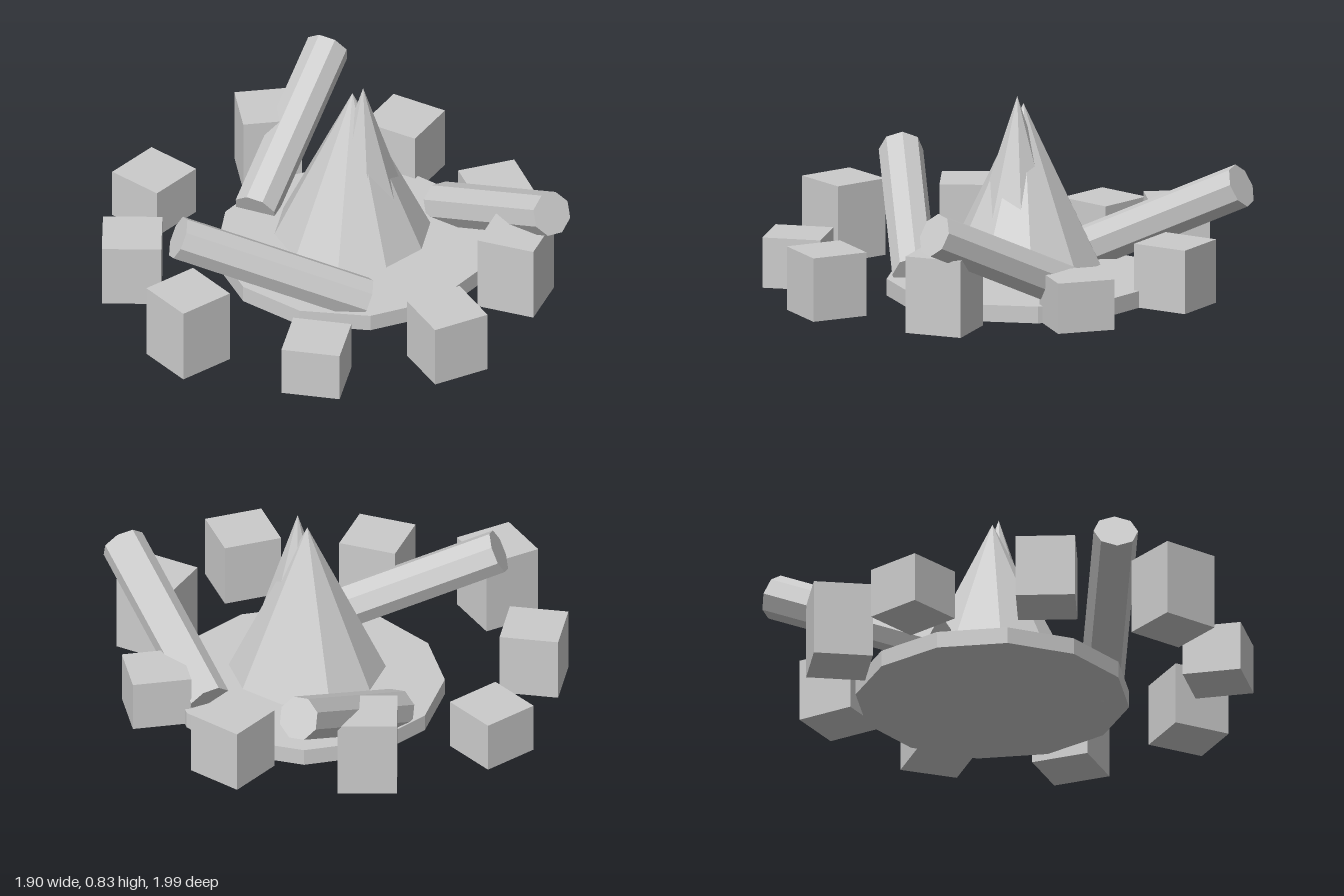
import * as THREE from 'three';

const material = new THREE.MeshStandardMaterial({ color: 0xcccccc, flatShading: true });

export function createModel() {
  const model = new THREE.Group();
  model.name = 'campfire';

  const add = (name, geometry, x, y, z, parent = model) => {
    const mesh = new THREE.Mesh(geometry, material);
    mesh.name = name;
    mesh.position.set(x, y, z);
    parent.add(mesh);
    return mesh;
  };
  const addGroup = (name) => {
    const group = new THREE.Group();
    group.name = name;
    model.add(group);
    return group;
  };

  // Flat twelve-sided ash bed
  add('ashBed', new THREE.CylinderGeometry(0.56, 0.56, 0.07, 12), 0.11, 0.035, -0.06);

  // Wide flame with a slimmer one breaking through it
  const flames = addGroup('flames');
  add('outerFlame', new THREE.ConeGeometry(0.32, 0.66, 10), 0.11, 0.46, -0.06, flames)
    .rotation.y = Math.PI / 2;
  add('innerFlame', new THREE.ConeGeometry(0.23, 0.7, 8), 0.15, 0.48, -0.03, flames);

  // Leaning logs: raised outer end, lower inner end
  const logs = addGroup('logs');
  const logEnds = [
    [[-0.66, 0.427, 0.36], [0.1, 0.08, 0.385]],
    [[0.125, 0.427, -0.95], [-0.255, 0.08, -0.32]],
    [[0.87, 0.427, 0.385], [0.505, 0.08, -0.27]],
  ];
  for (const [high, low] of logEnds) {
    const top = new THREE.Vector3(...high);
    const axis = top.clone().sub(new THREE.Vector3(...low));
    const length = axis.length();
    const centre = top.clone().addScaledVector(axis, -0.5);
    const log = add('log', new THREE.CylinderGeometry(0.091, 0.091, length, 8),
      centre.x, centre.y, centre.z, logs);
    log.quaternion.setFromUnitVectors(new THREE.Vector3(0, 1, 0), axis.normalize());
  }

  // Ring of block stones: x, z, turn; heights repeat in threes
  const stones = addGroup('stoneRing');
  const heights = [0.21, 0.265, 0.32];
  const places = [
    [-0.155, 0.835, -0.33], [0.39, 0.775, 0.36], [0.73, 0.33, -0.49],
    [0.72, -0.215, 0.21], [0.4, -0.65, -0.66], [-0.15, -0.715, 0.02],
    [-0.65, -0.47, -0.85], [-0.81, 0.06, -0.15], [-0.65, 0.595, 0.54],
  ];
  places.forEach(([x, z, turn], i) => {
    const h = heights[i % 3];
    add('stone', new THREE.BoxGeometry(0.242, h, 0.242), x, h / 2, z, stones).rotation.y = turn;
  });

  return model;
}
